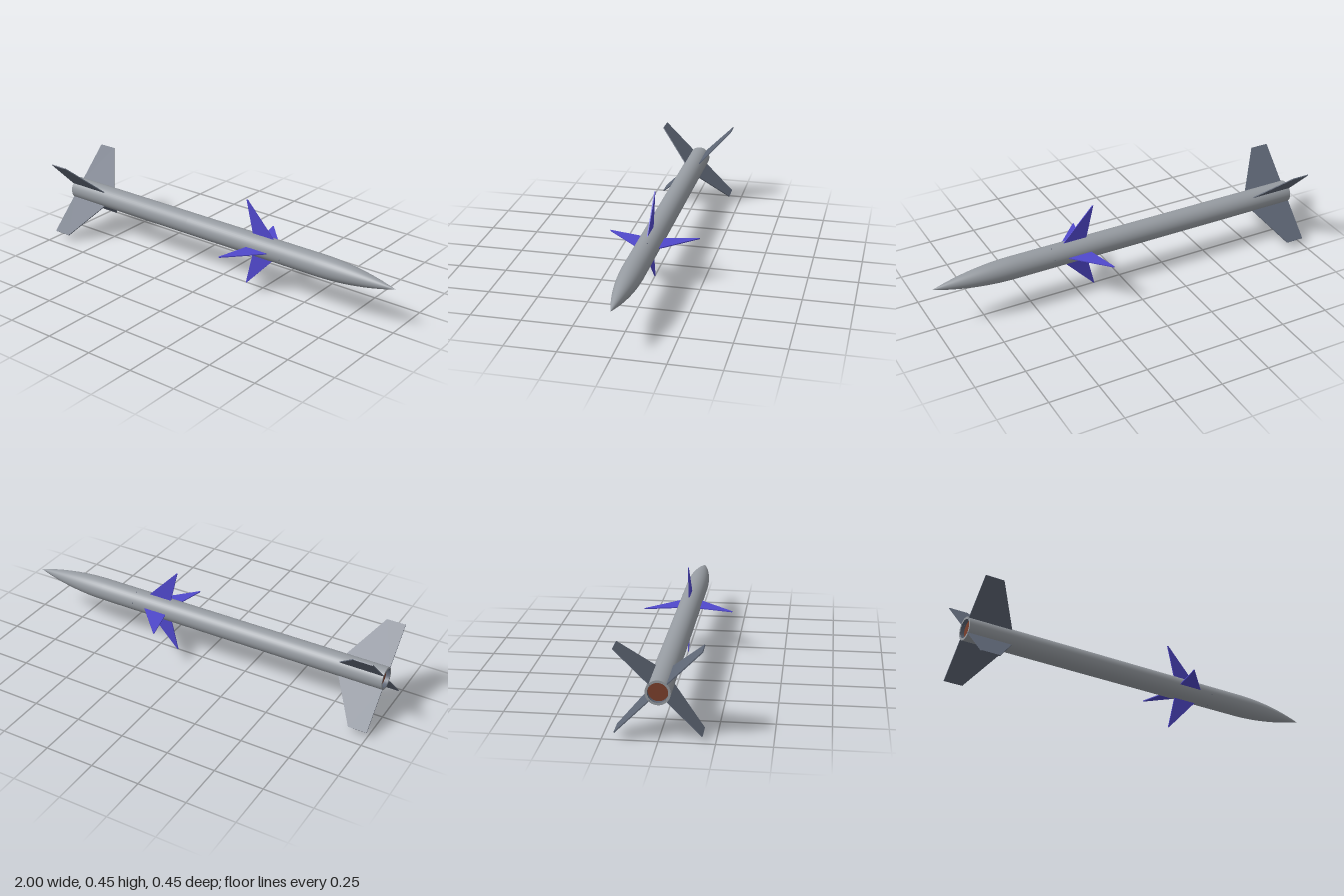
import * as THREE from 'three';

const AXIS_Y = 0.227, R = 0.057, NOSE_X = 0.58, TAIL_X = -1, TIP_X = 1;
const material = (color) => new THREE.MeshStandardMaterial({ color });

// Solid of revolution about the x axis; points are [radius, x], listed tail to nose
function turned(name, points, mat) {
  const geometry = new THREE.LatheGeometry(points.map(([r, x]) => new THREE.Vector2(r, x)), 40);
  geometry.rotateZ(-Math.PI / 2);
  const mesh = new THREE.Mesh(geometry, mat);
  mesh.name = name;
  return mesh;
}

// Four thin plates around the axis; outline points are [x, radius]
function finSet(name, outline, startAngle, mat) {
  const thickness = 0.005;
  const shape = new THREE.Shape(outline.map(([x, r]) => new THREE.Vector2(x, r)));
  const geometry = new THREE.ExtrudeGeometry(shape, { depth: thickness, bevelEnabled: false });
  geometry.translate(0, 0, -thickness / 2);
  const set = new THREE.Group();
  set.name = name + 's';
  for (let i = 0; i < 4; i++) {
    const fin = new THREE.Mesh(geometry, mat);
    fin.name = name;
    fin.rotation.x = startAngle + i * Math.PI / 2;
    set.add(fin);
  }
  return set;
}

export function createModel() {
  const model = new THREE.Group();
  model.name = 'missile';
  model.position.y = AXIS_Y;
  const grey = material(0x969ba1);
  const dark = material(0x5e6675);
  const blue = material(0x5048cc);
  const rust = material(0x7a3f2c);

  // Straight tube flowing into a tangent ogive nose
  const length = TIP_X - NOSE_X;
  const arc = (length * length + R * R) / (2 * R);
  const profile = [[R, TAIL_X], [R, -0.2]];
  for (let i = 0; i <= 20; i++) {
    const d = (length * i) / 20;
    profile.push([Math.max(0, Math.sqrt(arc * arc - d * d) - arc + R), NOSE_X + d]);
  }
  model.add(turned('body', profile, grey));

  // Tail rim and recessed exhaust
  const inner = 0.046, floorX = TAIL_X + 0.02;
  model.add(turned('tailRim', [[inner, TAIL_X], [R, TAIL_X]], grey));
  model.add(turned('nozzleWall', [[inner, floorX], [inner, TAIL_X]], dark));
  model.add(turned('nozzleFloor', [[0, floorX], [inner, floorX]], rust));

  // Swept tail fins on the diagonals
  model.add(finSet('tailFin',
    [[-1, 0.045], [-0.76, 0.045], [-0.775, R], [-0.905, 0.273], [-1, 0.273]], Math.PI / 4, dark));

  // Pointed steering fins on the upright and level planes
  model.add(finSet('steeringFin',
    [[0.188, 0.045], [0.321, 0.045], [0.15, 0.227], [0.145, 0.227]], 0, blue));

  // Tiny ports ahead of the steering fins
  const portGeometry = new THREE.SphereGeometry(0.003, 8, 6);
  for (const [y, z] of [[-0.01, 0.055], [0.054, -0.017], [0.01, -0.055], [-0.054, 0.017]]) {
    const port = new THREE.Mesh(portGeometry, dark);
    port.name = 'port';
    port.position.set(0.383, y, z);
    model.add(port);
  }

  const root = new THREE.Group();
  root.name = 'model';
  root.add(model);
  return root;
}
